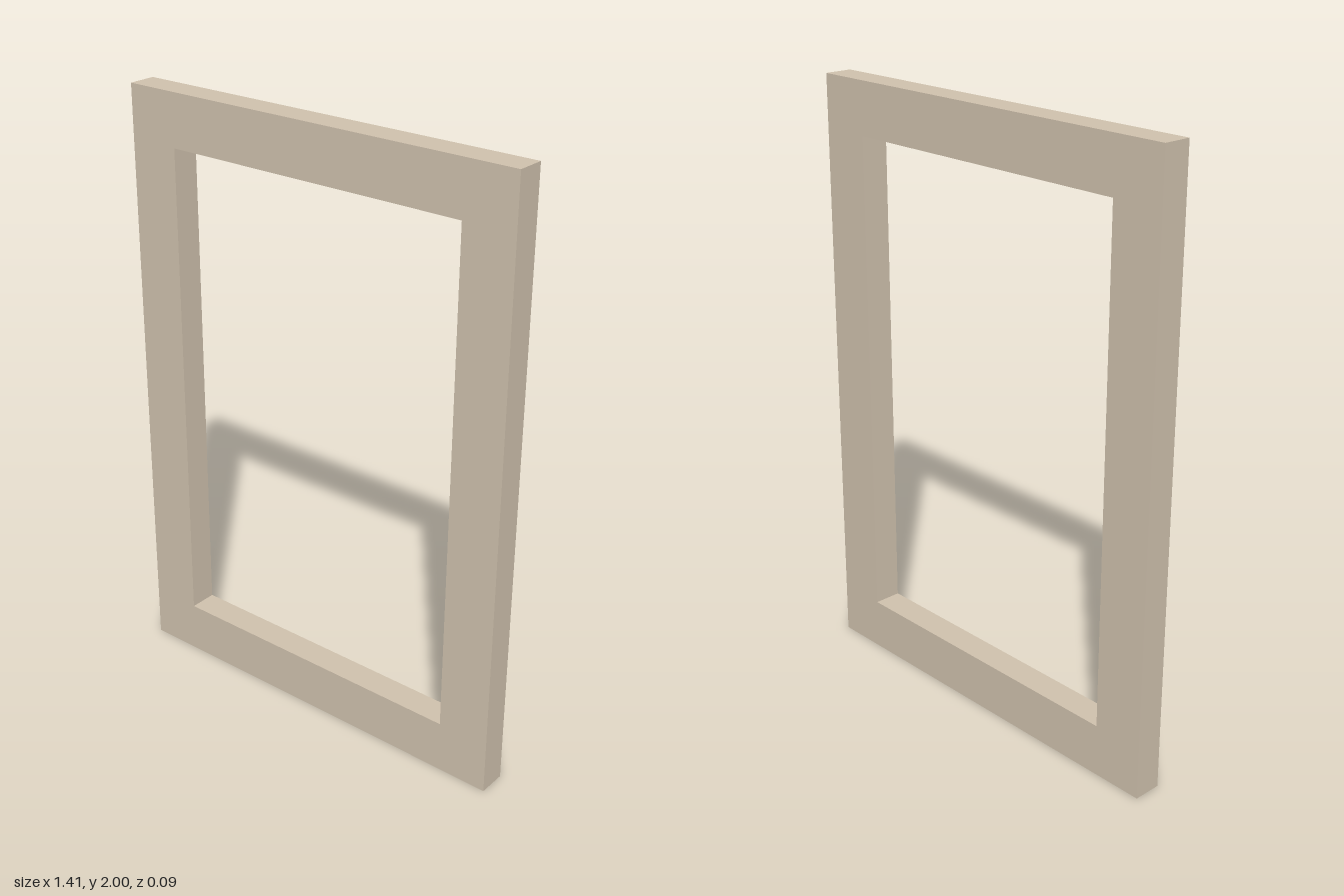
import * as THREE from 'three';

const WIDTH = 1.41, HEIGHT = 2, DEPTH = 0.094, BAR = 0.174;

export function createModel() {
  const model = new THREE.Group();
  model.name = 'frame';
  const material = new THREE.MeshStandardMaterial({ color: 0xcfc1ad });

  const addBar = (name, width, height, x, y) => {
    const bar = new THREE.Mesh(new THREE.BoxGeometry(width, height, DEPTH), material);
    bar.name = name;
    bar.position.set(x, y, 0);
    model.add(bar);
  };

  // Full-height uprights
  const uprightX = (WIDTH - BAR) / 2;
  addBar('leftUpright', BAR, HEIGHT, uprightX, HEIGHT / 2);
  addBar('rightUpright', BAR, HEIGHT, -uprightX, HEIGHT / 2);

  // Rails butted between the uprights
  const railLength = WIDTH - 2 * BAR;
  addBar('topRail', railLength, BAR, 0, HEIGHT - BAR / 2);
  addBar('bottomRail', railLength, BAR, 0, BAR / 2);

  return model;
}
